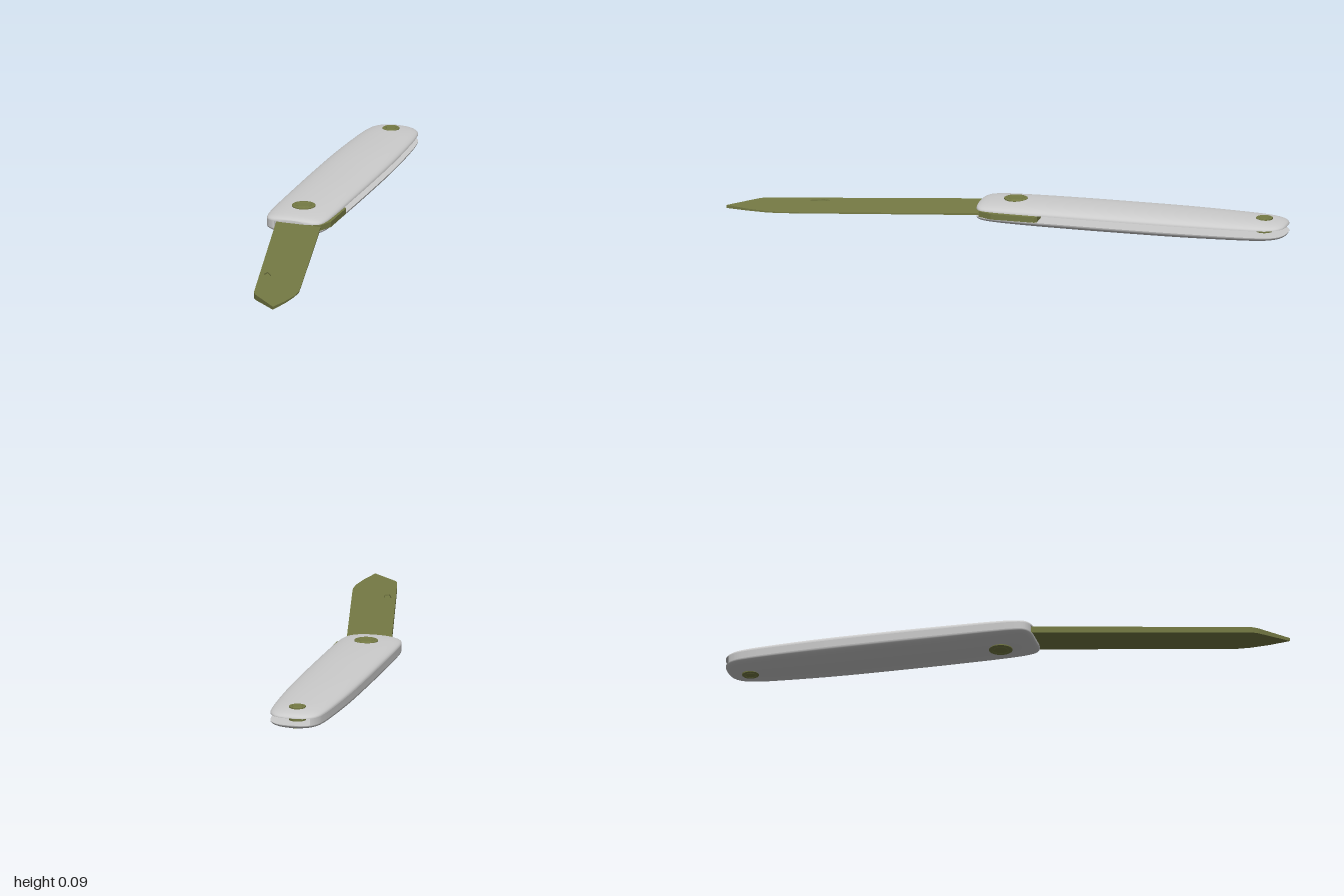
import * as THREE from 'three';
import { toCreasedNormals } from 'three/addons/utils/BufferGeometryUtils.js';

const MID = 0.0425;   // height of the handle's middle plane
const CX = -0.079;    // handle centre line
const GAP = 0.0125;   // half height of the blade slot
const grey = new THREE.MeshStandardMaterial({ color: 0xcccccc });
const olive = new THREE.MeshStandardMaterial({ color: 0x757a44 });

// handle stations: half width, half height, z
const stations = new THREE.CatmullRomCurve3([
  [0.045, 0.022, 0.13], [0.078, 0.027, 0.124], [0.1, 0.0315, 0.108], [0.11, 0.035, 0.075],
  [0.115, 0.0385, 0], [0.117, 0.042, -0.2], [0.1175, 0.0425, -0.4], [0.115, 0.042, -0.62],
  [0.107, 0.039, -0.8], [0.099, 0.036, -0.9], [0.089, 0.032, -0.95], [0.07, 0.027, -0.98],
  [0.045, 0.021, -0.995], [0.02, 0.015, -1],
].map((p) => new THREE.Vector3(...p))).getPoints(78);

// one half of the handle: rounded outside, flat face towards the slot
function scaleGeometry() {
  const N = 28, row = N + 3, pos = [], idx = [];
  const first = stations[0], last = stations[stations.length - 1];
  const rings = [new THREE.Vector3(0, GAP, first.z), ...stations, new THREE.Vector3(0, GAP, last.z)];
  for (const s of rings) {
    for (let j = 0; j <= N; j++) {
      const t = (Math.PI * j) / N, c = Math.cos(t);
      const x = s.x * Math.sign(c) * Math.abs(c) ** 0.9;
      const y = GAP + (s.y - GAP) * Math.max(0, Math.sin(t)) ** 0.9;
      pos.push(x, y, s.z);
    }
    pos.push(-s.x, GAP, s.z, s.x, GAP, s.z);
  }
  for (let i = 0; i < rings.length - 1; i++) {
    for (let j = 0; j < row - 1; j++) {
      if (j === N) continue;
      const a = i * row + j, c = a + row;
      idx.push(a, c, a + 1, a + 1, c, c + 1);
    }
  }
  const g = new THREE.BufferGeometry();
  g.setAttribute('position', new THREE.Float32BufferAttribute(pos, 3));
  g.setIndex(idx);
  g.computeVertexNormals();
  return g;
}

// plan shape (x, z) made into a plate, centred on the middle plane, 1 unit thick
function plate(points, hole) {
  const v = (list) => list.map(([x, z]) => new THREE.Vector2(x, z));
  const shape = new THREE.Shape(v(points));
  if (hole) shape.holes.push(new THREE.Path(v(hole)));
  return new THREE.ExtrudeGeometry(shape, { depth: 1, bevelEnabled: false, steps: 1 })
    .rotateX(Math.PI / 2).translate(0, 0.5, 0);
}

// wedge section: thick at the spine, thin at the cutting edge and towards the tip
function grind(g, topShare = 1) {
  const p = g.attributes.position;
  for (let i = 0; i < p.count; i++) {
    const dx = p.getX(i) + 0.14, dz = p.getZ(i) - 0.12;
    const across = dx * 0.971 - dz * 0.2385, along = dx * 0.2385 + dz * 0.971;
    const half = Math.max(0.0015, 0.012 - 0.054 * across - 0.002 * along);
    p.setY(i, p.getY(i) > 0 ? half * topShare : -half);
  }
  g.computeVertexNormals();
  return g;
}

// rivet through the handle, with a ringed head at each end
function rivet(r, h) {
  const head = [[r, h - 0.001], [r * 0.95, h], [r * 0.72, h], [r * 0.68, h - 0.002], [r * 0.6, h - 0.002], [r * 0.56, h], [0, h]];
  const pts = [...head.map(([x, y]) => [x, -y]).reverse(), ...head];
  const g = new THREE.LatheGeometry(pts.map(([x, y]) => new THREE.Vector2(x, y)), 36);
  return toCreasedNormals(g, 0.5);
}

export function createModel() {
  const model = new THREE.Group();
  const add = (name, geometry, material, x = 0, z = 0) => {
    const m = new THREE.Mesh(geometry, material);
    m.name = name;
    m.position.set(x, MID, z);
    model.add(m);
    return m;
  };

  // handle halves
  const half = scaleGeometry();
  add('upperHandleScale', half, grey, CX);
  add('lowerHandleScale', half, grey, CX).rotation.z = Math.PI;

  // closed back of the handle and the spring beside the slot
  const inner = -0.066;
  const back = stations.filter((s) => s.x > -inner + 0.002).map((s) => [-s.x, s.z]);
  back.push([inner, back[back.length - 1][1]], [inner, back[0][1]]);
  add('handleBack', plate(back).scale(1, GAP * 2, 1), grey, CX);
  add('backSpring', new THREE.BoxGeometry(0.025, 0.014, 1.0), grey, -0.152, -0.385);

  // blade with a nail nick in its upper face
  const nick = [[0.02, 0.655], [0.044, 0.685], [0.05, 0.72], [0.035, 0.727], [0.015, 0.68]];
  const outline = [
    [-0.145, 0.1], [0.02, 0.1], [0.055, 0.24], [0.175, 0.735], [0.19, 0.8], [0.191, 0.85],
    [0.182, 0.92], [0.163, 1.0], [0.065, 0.908], [0.052, 0.89], [0.045, 0.865],
  ];
  add('blade', grind(plate(outline, nick)), olive);
  add('nailNick', grind(plate(nick), 0.5), olive);

  // tang turning on the pivot, just showing in the slot
  const tang = [
    [-0.145, 0.1], [-0.14, 0.0], [-0.11, -0.08], [-0.06, -0.105], [0.035, -0.108],
    [0.044, -0.1], [0.044, 0.06], [0.022, 0.11], [-0.1425, 0.11],
  ];
  add('tang', plate(tang).scale(1, 0.02, 1), olive);

  // rivets
  add('pivotRivet', rivet(0.042, 0.0415), olive, -0.08, 0);
  add('endRivet', rivet(0.03, 0.0385), olive, -0.08, -0.915);
  return model;
}
